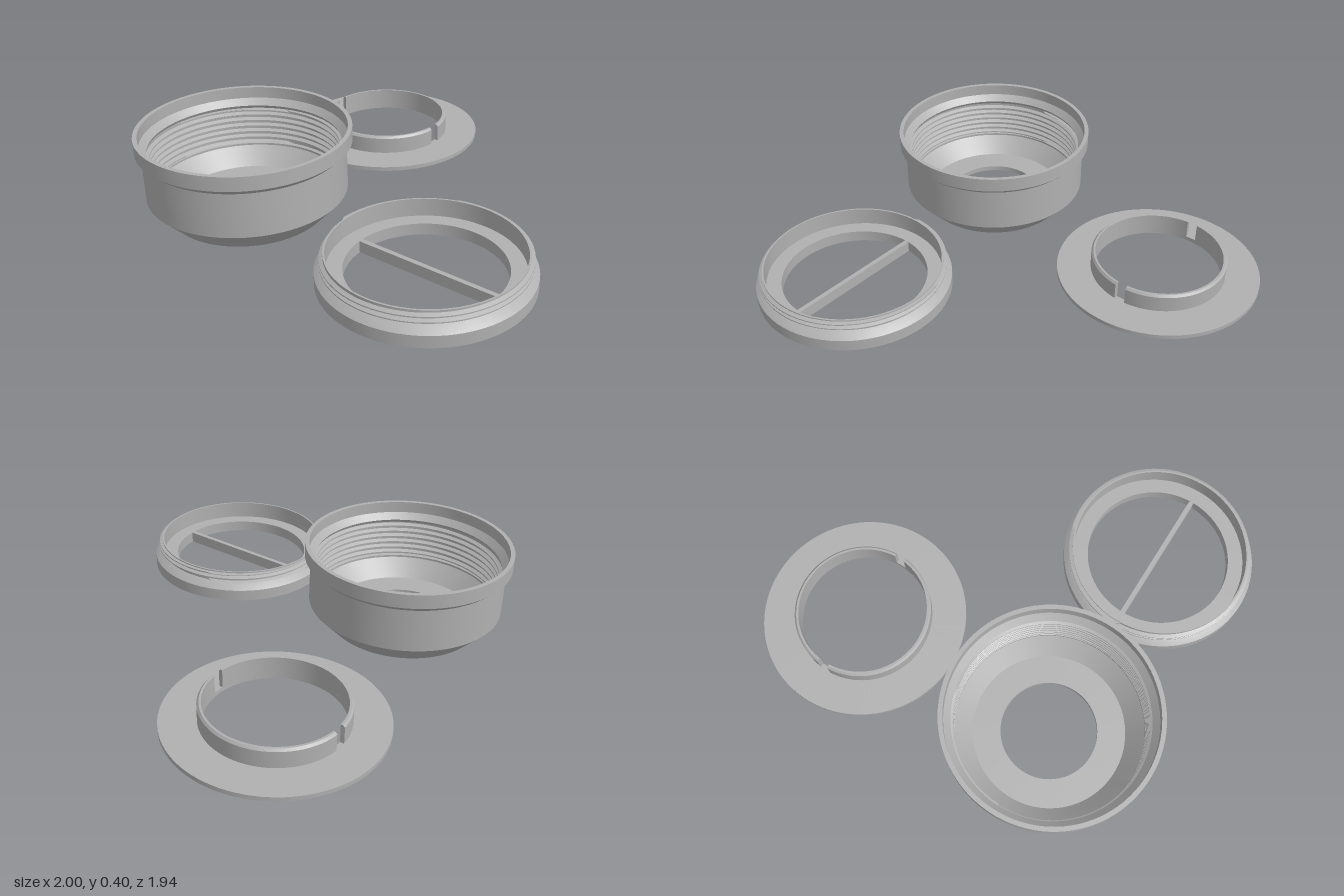
import * as THREE from 'three';
import { toCreasedNormals } from 'three/addons/utils/BufferGeometryUtils.js';

const SEGMENTS = 96;
const grey = new THREE.MeshStandardMaterial({ color: 0xb0b0b0 });
grey.name = 'grey plastic';

function addMesh(parent, geometry, name) {
  const mesh = new THREE.Mesh(geometry, grey);
  mesh.name = name;
  parent.add(mesh);
  return mesh;
}

// Rows of a V-shaped screw thread, listed from low to high.
// One extra turn below lets the helix run in from the lower end.
function threadRows({ lo, hi, pitch, root, crest }) {
  const rows = [];
  const turns = Math.round((hi - lo) / pitch) + 1;
  for (let k = 0; k < turns; k++) {
    const y = lo + (k - 1) * pitch;
    rows.push([root, y], [root, y + pitch * 0.25], [crest, y + pitch * 0.5], [crest, y + pitch * 0.7]);
  }
  rows.push([root, lo + (turns - 1) * pitch]);
  return rows;
}

// Revolves a closed profile: before + thread + after, then winds the thread rows into a helix.
function turned(before, thread, after, inside = false) {
  let rows = thread ? threadRows(thread) : [];
  if (inside) rows.reverse();
  const profile = [...before, ...rows, ...after, before[0]];
  const geometry = new THREE.LatheGeometry(profile.map(([r, y]) => new THREE.Vector2(r, y)), SEGMENTS);
  const pos = geometry.attributes.position;
  for (let i = 0; thread && i <= SEGMENTS; i++) {
    const phi = (i / SEGMENTS) * Math.PI * 2;
    for (let j = 0; j < rows.length; j++) {
      const wanted = rows[j][1] + (thread.pitch * i) / SEGMENTS;
      const y = Math.min(thread.hi, Math.max(thread.lo, wanted));
      const r = Math.abs(y - wanted) > 1e-6 ? thread.root : rows[j][0];
      pos.setXYZ(i * profile.length + before.length + j, r * Math.sin(phi), y, r * Math.cos(phi));
    }
  }
  return toCreasedNormals(geometry, 0.4);
}

// Cup with flared lip, tapered base and internal thread
function makeCup() {
  const cup = new THREE.Group();
  cup.name = 'threadedCup';
  const geometry = turned(
    [[0.222, 0], [0.362, 0], [0.456, 0.1], [0.456, 0.308], [0.483, 0.333], [0.483, 0.4],
      [0.463, 0.4], [0.463, 0.345], [0.434, 0.315]],
    { lo: 0.12, hi: 0.3, pitch: 0.03, root: 0.442, crest: 0.426 },
    [[0.428, 0.115], [0.428, 0.105], [0.35, 0.025], [0.222, 0.025]],
    true
  );
  addMesh(cup, geometry, 'cupBody');
  return cup;
}

// Screw-in retaining ring with a bar across its opening
function makeRing() {
  const ring = new THREE.Group();
  ring.name = 'retainingRing';
  const geometry = turned(
    [[0.34, 0], [0.456, 0], [0.456, 0.055], [0.422, 0.082]],
    { lo: 0.084, hi: 0.134, pitch: 0.025, root: 0.418, crest: 0.434 },
    [[0.418, 0.14], [0.41, 0.14], [0.41, 0.055], [0.34, 0.055]]
  );
  addMesh(ring, geometry, 'ringBody');
  const bar = addMesh(ring, new THREE.BoxGeometry(0.022, 0.054, 0.69), 'crossBar');
  bar.position.y = 0.0275;
  return ring;
}

// Flat flange with a collar split by two slots
function makeFlange() {
  const flange = new THREE.Group();
  flange.name = 'collarFlange';
  addMesh(flange, turned([[0.302, 0], [0.483, 0], [0.483, 0.02], [0.302, 0.02]], null, []), 'flangePlate');

  const section = [[0.302, 0.02], [0.321, 0.02], [0.321, 0.098], [0.312, 0.108], [0.302, 0.108]];
  const gap = 0.084;
  const loop = [...section, section[0]].map(([r, y]) => new THREE.Vector2(r, y));
  const endCap = (side) =>
    new THREE.ShapeGeometry(new THREE.Shape(section.map(([r, y]) => new THREE.Vector2(side * r, y))));

  for (let k = 0; k < 2; k++) {
    const half = new THREE.Group();
    half.name = k ? 'collarRight' : 'collarLeft';
    half.rotation.y = k * Math.PI;
    const wall = new THREE.LatheGeometry(loop, SEGMENTS / 2, gap, Math.PI - 2 * gap);
    addMesh(half, toCreasedNormals(wall, 0.4), 'collarWall');
    addMesh(half, endCap(1), 'slotFace').rotation.y = gap - Math.PI / 2;
    addMesh(half, endCap(-1), 'slotFace').rotation.y = Math.PI - gap + Math.PI / 2;
    flange.add(half);
  }
  return flange;
}

export function createModel() {
  const model = new THREE.Group();
  model.name = 'threePartFitting';
  const cup = makeCup();
  const ring = makeRing();
  const flange = makeFlange();
  cup.position.set(-0.517, 0, -0.488);
  flange.position.set(0.517, 0, -0.488);
  ring.position.set(-0.517, 0, 0.515);
  model.add(cup, ring, flange);
  return model;
}
